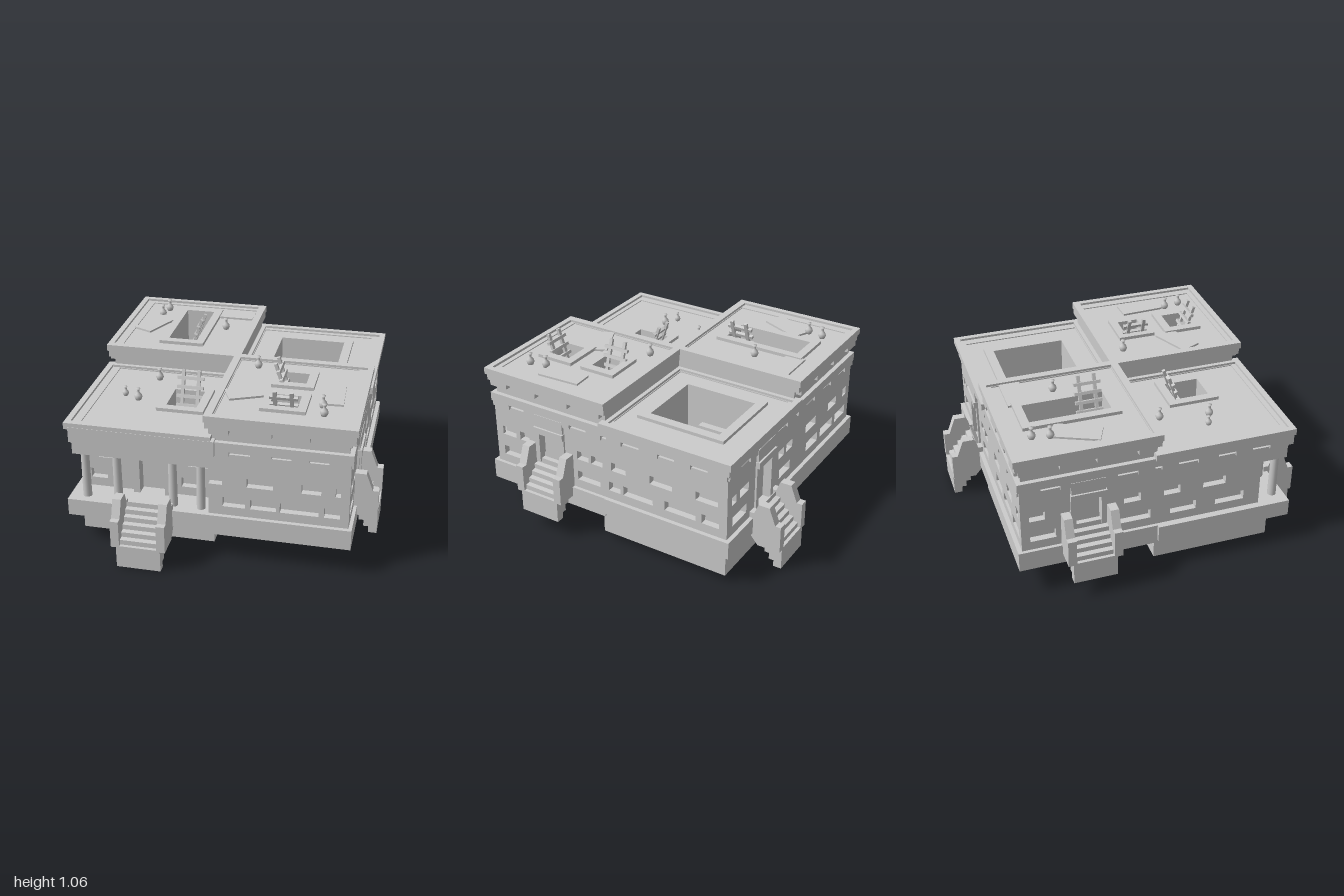
import * as THREE from 'three';

const mat = new THREE.MeshStandardMaterial({ color: 0xcccccc, flatShading: true });
const smooth = new THREE.MeshStandardMaterial({ color: 0xcccccc });

function add(parent, name, geo, m = mat) {
  const mesh = new THREE.Mesh(geo, m);
  mesh.name = name;
  parent.add(mesh);
  return mesh;
}

// Box from its limits
function block(parent, name, x0, x1, y0, y1, z0, z1) {
  const b = add(parent, name, new THREE.BoxGeometry(Math.abs(x1 - x0), y1 - y0, Math.abs(z1 - z0)));
  b.position.set((x0 + x1) / 2, (y0 + y1) / 2, (z0 + z1) / 2);
  return b;
}

// Horizontal slab [x0, x1, z0, z1] with rectangular holes
function slab(parent, name, r, holes, y0, y1) {
  const trace = (p, [a, b, c, d]) => p.moveTo(a, -d).lineTo(b, -d).lineTo(b, -c).lineTo(a, -c).closePath();
  const shape = trace(new THREE.Shape(), r);
  shape.holes = holes.map((h) => trace(new THREE.Path(), h));
  const geo = new THREE.ExtrudeGeometry(shape, { depth: y1 - y0, bevelEnabled: false });
  geo.rotateX(-Math.PI / 2);
  return add(parent, name, geo.translate(0, y0, 0));
}

const grow = ([a, b, c, d], k) => [a - k, b + k, c - k, d + k];

// Quadrant rectangle reaching from the centre lines to the outer limits
function quad(sx, sz, ox, oz = ox, inner = 0) {
  const xs = [-sx * inner, sx * ox].sort((a, b) => a - b);
  const zs = [-sz * inner, sz * oz].sort((a, b) => a - b);
  return [...xs, ...zs];
}

// Solid runs left between gaps
function runs(from, to, gaps) {
  const out = [];
  let u = from;
  for (const [a, b] of [...gaps].sort((p, q) => p[0] - q[0])) {
    if (a > u) out.push([u, a]);
    u = Math.max(u, b);
  }
  if (u < to) out.push([u, to]);
  return out;
}

// One storey block: core with pits, wall courses, windows, cornices and parapet
function house(root, o) {
  const g = new THREE.Group();
  g.name = o.name;
  root.add(g);
  const { sx, sz, roof } = o;
  const front = o.wallZ ?? 0.8;
  const pits = o.pits.map((p) => p.r);
  block(g, 'core', 0, sx * 0.76, 0.2, o.pitFloor, 0, sz * (front - 0.04));
  if (o.pitFloor < 0.6) slab(g, 'upperCore', quad(sx, sz, 0.76, front - 0.04), pits, o.pitFloor, 0.6);
  slab(g, 'roofBlock', quad(sx, sz, 0.785), pits, Math.max(0.6, o.pitFloor), roof);
  slab(g, 'plinth', quad(sx, sz, o.plinth, 0.825), [], o.plinthY, 0.305);

  // Wall courses, broken by windows and doors on the two outer sides
  const rows = [[0.305, 0.36], [0.36, 0.42, 'low'], [0.42, 0.5], [0.5, 0.555, 'high'], [0.555, 0.6]];
  for (const [y0, y1, kind] of rows) {
    const gap = (side) => [
      ...(kind ? o[side][kind] ?? [] : []),
      ...(o[side].door && y1 > o[side].doorY + 0.01 ? [o[side].door] : []),
    ];
    const lim = (s, w) => (s > 0 ? [0, w] : [-w, 0]);
    for (const [a, b] of runs(...lim(sz, front), gap('sideX')))
      block(g, 'sideWall', sx * 0.75, sx * 0.8, y0, y1, a, b);
    for (const [a, b] of runs(...lim(sx, 0.8), gap('sideZ')))
      block(g, 'endWall', a, b, y0, y1, sz * (front - 0.05), sz * front);
  }

  // Cornices with hanging tabs
  const cornice = (y0, y1, out) => {
    slab(g, 'cornice', quad(sx, sz, out, out, 0.015), [quad(sx, sz, 0.76, 0.76, -0.03)], y0, y1);
    for (const [c, w] of [[0.07, 0.1], [0.3, 0.12], [0.52, 0.1], [0.74, 0.12]]) {
      block(g, 'corniceTab', sx * 0.77, sx * out, y0 - 0.03, y0, sz * (c - w / 2), sz * (c + w / 2));
      block(g, 'corniceTab', sx * (c - w / 2), sx * (c + w / 2), y0 - 0.03, y0, sz * 0.77, sz * out);
    }
  };
  slab(g, 'wallBand', quad(sx, sz, 0.8), [quad(sx, sz, 0.76, 0.76, -0.03)], 0.6, 0.7);
  cornice(0.72, 0.775, 0.812);
  if (roof > 0.85) cornice(0.86, 0.91, 0.82);
  slab(g, 'parapet', quad(sx, sz, 0.83, 0.83, 0.02), [quad(sx, sz, 0.795, 0.795, -0.025)], roof - 0.02, roof + 0.02);
  slab(g, 'roofEdge', quad(sx, sz, 0.8, 0.8, -0.01), [quad(sx, sz, 0.745, 0.765, -0.03)], roof - 0.01, roof + 0.006);

  for (const p of o.pits) slab(g, 'hatchRim', grow(p.r, p.rim ?? 0.05), [p.r], roof - 0.01, roof + 0.02);
  for (const [x, z, s] of o.vases) vase(g, x, roof, z, s);
  for (const l of o.ladders) ladder(g, ...l);
  for (const [x, z, w, d, a] of o.mats ?? []) {
    const m = block(g, 'mat', -w / 2, w / 2, 0, 0.012, -d / 2, d / 2);
    m.position.set(x, roof + 0.006, z);
    m.rotation.y = a;
  }
  return g;
}

function vase(parent, x, y, z, s = 1) {
  const pts = [[0, 0], [0.016, 0], [0.024, 0.018], [0.02, 0.034], [0.009, 0.046], [0.008, 0.06], [0.014, 0.072], [0, 0.07]];
  const v = add(parent, 'vase', new THREE.LatheGeometry(pts.map((p) => new THREE.Vector2(...p)), 14), smooth);
  v.position.set(x, y, z);
  v.scale.setScalar(s);
}

// Ladder hung from its top point; heading turns the lean
function ladder(parent, x, y, z, heading, len = 0.32) {
  const turn = new THREE.Group();
  turn.name = 'ladder';
  turn.position.set(x, y, z);
  turn.rotation.y = heading;
  const lean = new THREE.Group();
  lean.rotation.x = -0.32;
  turn.add(lean);
  for (const s of [-1, 1]) block(lean, 'rail', s * 0.047 - 0.01, s * 0.047 + 0.01, -len, 0, -0.009, 0.009);
  for (let d = 0.05; d < len; d += 0.055) block(lean, 'rung', -0.08, 0.08, -d - 0.009, -d + 0.009, -0.004, 0.017);
  parent.add(turn);
}

// Stair flight with stepped underside and sloped cheek walls
function stairs(root, name, x, y, z, heading) {
  const g = new THREE.Group();
  g.name = name;
  const prism = (n, pts, w, off) => {
    const geo = new THREE.ExtrudeGeometry(new THREE.Shape(pts.map((p) => new THREE.Vector2(...p))), { depth: w, bevelEnabled: false });
    add(g, n, geo.translate(0, 0, off - w / 2));
  };
  const under = [];
  for (let i = 0; i < 6; i++) under.push([i * 0.03, 0.2 - i * 0.04], [(i + 1) * 0.03, 0.2 - i * 0.04]);
  under.splice(-1, 1, [0.15, 0], [0.2, 0]);
  const treads = [[0.2, 0.14]];
  for (let i = 0; i < 6; i++) treads.push([0.18 - i * 0.03, 0.14 + i * 0.033], [0.18 - i * 0.03, 0.14 + (i + 1) * 0.033 - 0.003]);
  treads.push([0, 0.305]);
  prism('steps', [...under, ...treads], 0.26, 0);
  for (const s of [-1, 1])
    prism('cheekWall', [[0, 0.2], [0.06, 0.13], [0.2, 0.13], [0.2, 0.3], [0.165, 0.3], [0.125, 0.405], [0.055, 0.405], [0.03, 0.34], [0, 0.34]], 0.05, s * 0.135);
  g.position.set(x, y, z);
  g.rotation.y = heading;
  root.add(g);
}

export function createModel() {
  const root = new THREE.Group();
  root.name = 'pavilionHouse';
  const H = Math.PI / 2;

  house(root, {
    name: 'frontLeftTallHouse', sx: 1, sz: 1, roof: 0.92, pitFloor: 0.65, plinth: 0.82, plinthY: 0.18,
    sideX: { door: [0.31, 0.47], doorY: 0.41, low: [[0.04, 0.2], [0.58, 0.75]], high: [[0.02, 0.1], [0.12, 0.2], [0.55, 0.62], [0.65, 0.78]] },
    sideZ: { low: [[0.08, 0.21], [0.24, 0.39], [0.41, 0.63], [0.66, 0.75]], high: [[0, 0.08], [0.22, 0.37], [0.53, 0.64], [0.72, 0.78]] },
    pits: [{ r: [0.32, 0.47, 0.18, 0.31] }, { r: [0.31, 0.47, 0.48, 0.62] }],
    vases: [[0.15, 0.11], [0.6, 0.55], [0.62, 0.65]],
    ladders: [[0.285, 1.04, 0.245, H], [0.39, 1.04, 0.65, Math.PI]],
    mats: [[0.16, 0.47, 0.25, 0.13, 0.42], [0.645, 0.39, 0.12, 0.27, 0.05]],
  });
  house(root, {
    name: 'backRightTallHouse', sx: -1, sz: -1, roof: 0.92, pitFloor: 0.65, plinth: 0.82, plinthY: 0.18,
    sideX: { door: [-0.49, -0.33], doorY: 0.41, low: [[-0.75, -0.6], [-0.22, -0.04]], high: [[-0.78, -0.66], [-0.2, -0.1]] },
    sideZ: { low: [[-0.75, -0.6], [-0.56, -0.38], [-0.34, -0.18]], high: [[-0.78, -0.7], [-0.6, -0.48], [-0.3, -0.16]] },
    pits: [{ r: [-0.48, -0.3, -0.65, -0.17] }],
    vases: [[-0.61, -0.67], [-0.63, -0.57], [-0.17, -0.43]],
    ladders: [[-0.275, 1.06, -0.26, -H, 0.36]],
    mats: [[-0.635, -0.42, 0.13, 0.28, -0.42], [-0.15, -0.66, 0.24, 0.12, 0]],
  });
  const court = [0.17, 0.58, -0.62, -0.17];
  const courtHouse = house(root, {
    name: 'courtyardHouse', sx: 1, sz: -1, roof: 0.79, pitFloor: 0.5, plinth: 0.825, plinthY: 0.2,
    sideX: { low: [[-0.1, -0.02], [-0.32, -0.12], [-0.6, -0.4], [-0.77, -0.64]], high: [[-0.14, -0.04], [-0.45, -0.3], [-0.74, -0.6]] },
    sideZ: { door: [0.3, 0.46], doorY: 0.305, low: [[0.04, 0.18], [0.58, 0.74]], high: [[0.02, 0.1], [0.13, 0.2], [0.56, 0.66], [0.7, 0.78]] },
    pits: [{ r: court, rim: 0.055 }], vases: [], ladders: [],
  });
  // Courtyard benches
  block(courtHouse, 'bench', 0.28, 0.48, 0.5, 0.58, -0.62, -0.585);
  block(courtHouse, 'bench', 0.28, 0.48, 0.5, 0.58, -0.205, -0.17);
  block(courtHouse, 'bench', 0.17, 0.215, 0.5, 0.58, -0.48, -0.27);
  block(courtHouse, 'bench', 0.545, 0.58, 0.5, 0.58, -0.48, -0.27);

  const portico = house(root, {
    name: 'porticoHouse', sx: -1, sz: 1, roof: 0.79, pitFloor: 0.5, plinth: 0.84, plinthY: 0.2, wallZ: 0.64,
    sideX: { low: [[0.08, 0.24], [0.36, 0.54]], high: [[0.04, 0.14], [0.28, 0.42]] },
    sideZ: { door: [-0.45, -0.29], doorY: 0.305, low: [[-0.76, -0.65], [-0.2, -0.08]], high: [[-0.7, -0.58], [-0.16, -0.04]] },
    pits: [{ r: [-0.32, -0.14, 0.28, 0.49] }],
    vases: [[-0.46, 0.13], [-0.6, 0.38, 0.8], [-0.51, 0.42]],
    ladders: [[-0.225, 0.935, 0.255, 0]],
  });
  // Portico columns, beam and door jambs
  for (const x of [-0.74, -0.55, -0.22, -0.055]) {
    const c = add(portico, 'column', new THREE.CylinderGeometry(0.024, 0.026, 0.3, 16), smooth);
    c.position.set(x, 0.455, 0.755);
  }
  block(portico, 'entablature', -0.805, 0.04, 0.69, 0.785, 0.74, 0.832);
  for (const x of [-0.465, -0.275]) block(portico, 'doorJamb', x - 0.02, x + 0.02, 0.305, 0.6, 0.6, 0.67);

  // Jambs and lintels of the three other doors
  const door = (name, x, z, y0, heading) => {
    const g = new THREE.Group();
    g.name = name;
    for (const s of [-1, 1]) block(g, 'jamb', 0.75, 0.812, y0, 0.62, s * 0.09 - 0.015, s * 0.09 + 0.015);
    block(g, 'lintel', 0.75, 0.826, 0.6, 0.64, -0.105, 0.105);
    block(g, 'doorHead', 0.75, 0.815, 0.64, 0.72, -0.1, 0.1);
    g.position.set(x, 0, z);
    g.rotation.y = heading;
    root.add(g);
  };
  door('leftDoor', 0, 0.39, 0.4, 0);
  door('rightDoor', 0, -0.41, 0.4, Math.PI);
  door('backDoor', 0.38, 0, 0.3, H);

  // Open-bottomed foundations
  for (const r of [[-0.79, 0.01, -0.01, 0.71], [0, 0.79, -0.79, 0.03]])
    slab(root, 'foundation', r, [grow(r, -0.02)], 0.05, 0.21);

  stairs(root, 'frontStairs', -0.37, 0, 0.8, -H);
  stairs(root, 'backStairs', 0.38, 0, -0.8, H);
  stairs(root, 'leftStairs', 0.74, 0.115, 0.39, 0);
  stairs(root, 'rightStairs', -0.74, 0.115, -0.41, Math.PI);
  return root;
}
